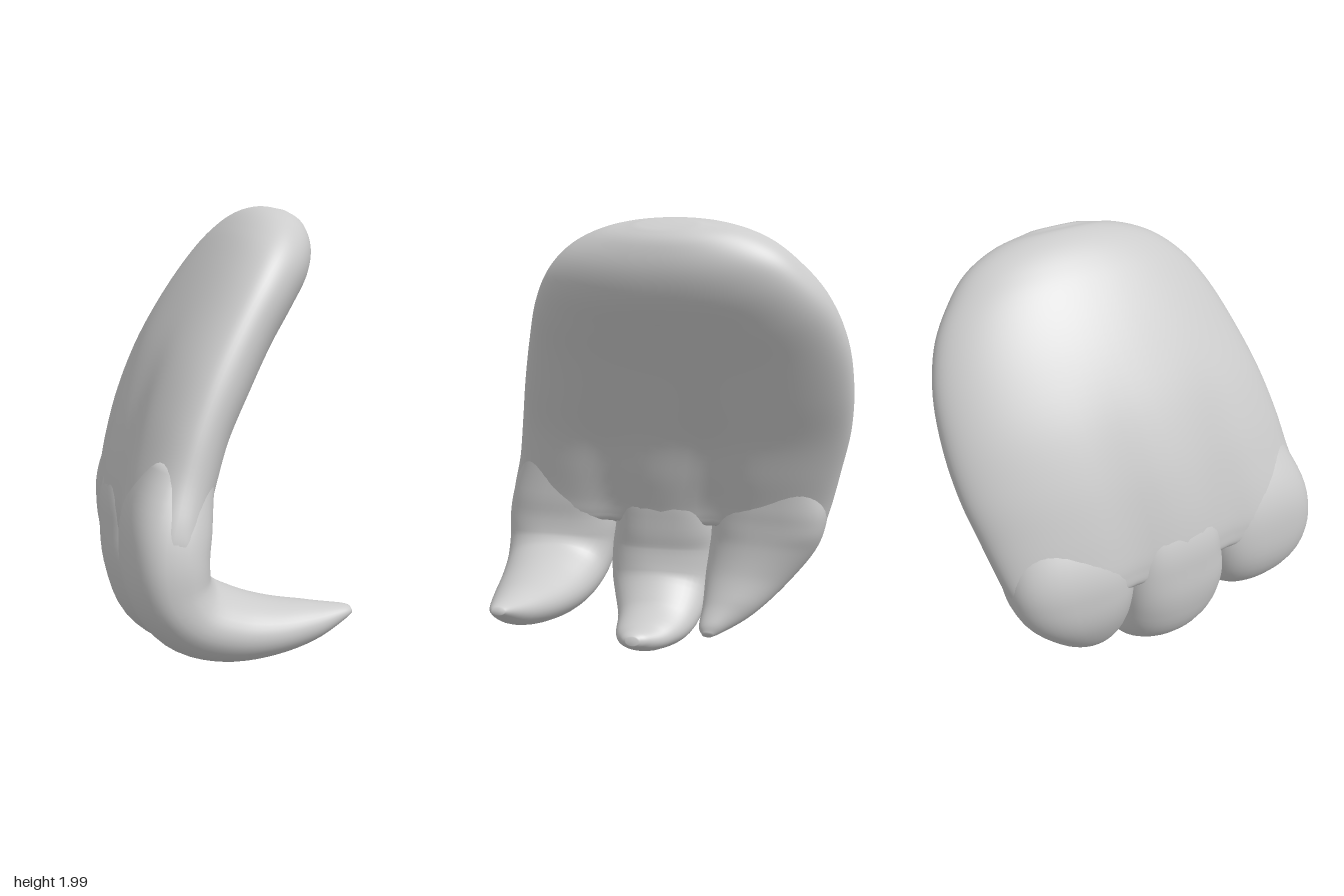
import * as THREE from 'three';

const material = new THREE.MeshStandardMaterial({ color: 0xcccccc });
const Z = new THREE.Vector3(0, 0, 1);

// Rounded power used for the squarish-oval cross-sections
const sp = (v, e) => Math.sign(v) * Math.pow(Math.abs(v), e);

// Closed smooth loft. Each section: [x, y, z, half width along z, half thickness, squareness]
// bend curls the back rim toward +x; grooves are z positions of soft furrows low down
function loft(name, sections, { steps = 40, sides = 40, bend = 0, grooves = [] } = {}) {
  const path = new THREE.CatmullRomCurve3(
    sections.map(s => new THREE.Vector3(s[0], s[1], s[2])), false, 'catmullrom', 0.5);
  const size = new THREE.CatmullRomCurve3(
    sections.map(s => new THREE.Vector3(s[3], s[4], s[5])), false, 'catmullrom', 0.5);
  const pos = [], index = [];
  const put = p => pos.push(p.x + (p.z < 0 ? bend * p.z * p.z : 0), p.y, p.z);

  for (let i = 0; i <= steps; i++) {
    const u = i / steps;
    const c = path.getPoint(u), s = size.getPoint(u);
    const t = path.getTangent(u).setZ(0).normalize();
    const n = new THREE.Vector3().crossVectors(t, Z);
    const furrow = 0.2 * (1 - THREE.MathUtils.smoothstep(c.y, 0.6, 1.5));
    for (let j = 0; j < sides; j++) {
      const a = (j / sides) * Math.PI * 2;
      const p = c.clone().addScaledVector(Z, Math.max(s.x, 0.005) * sp(Math.cos(a), 2 / s.z));
      const dip = grooves.reduce((d, g) => d + furrow * Math.exp(-(((p.z - g) / 0.12) ** 2)), 0);
      put(p.addScaledVector(n, Math.max(s.y, 0.005) * sp(Math.sin(a), 2 / s.z) * (1 - dip)));
    }
  }
  const first = pos.length / 3, last = first + 1, end = steps * sides;
  put(path.getPoint(0));
  put(path.getPoint(1));
  for (let j = 0; j < sides; j++) {
    const k = (j + 1) % sides;
    for (let i = 0; i < steps; i++) {
      const a = i * sides + j, b = i * sides + k;
      index.push(a, b, a + sides, b, b + sides, a + sides);
    }
    index.push(first, k, j, last, end + j, end + k);
  }
  const geometry = new THREE.BufferGeometry();
  geometry.setAttribute('position', new THREE.Float32BufferAttribute(pos, 3));
  geometry.setIndex(index);
  geometry.computeVertexNormals();
  const mesh = new THREE.Mesh(geometry, material);
  mesh.name = name;
  return mesh;
}

export function createModel() {
  const group = new THREE.Group();
  group.name = 'curledPaw';
  const bend = 0.15;

  // Broad leaning palm, rounded at the top, furrowed above the finger gaps
  group.add(loft('palm', [
    [0.385, 1.97, -0.10, 0.12, 0.045, 2],
    [0.365, 1.935, -0.10, 0.29, 0.12, 2],
    [0.32, 1.87, -0.10, 0.44, 0.18, 2.1],
    [0.25, 1.775, -0.10, 0.555, 0.215, 2.15],
    [0.155, 1.65, -0.11, 0.65, 0.227, 2.15],
    [0.04, 1.48, -0.11, 0.72, 0.23, 2.15],
    [-0.075, 1.28, -0.09, 0.765, 0.23, 2.2],
    [-0.17, 1.08, -0.06, 0.785, 0.22, 2.2],
    [-0.235, 0.89, -0.02, 0.785, 0.21, 2.3],
    [-0.28, 0.74, 0.02, 0.79, 0.192, 2.5],
    [-0.297, 0.65, 0.04, 0.785, 0.177, 2.8],
    [-0.302, 0.59, 0.045, 0.765, 0.155, 3],
    [-0.302, 0.56, 0.05, 0.70, 0.08, 3],
  ], { steps: 65, sides: 96, bend, grooves: [0.28, -0.2] }));

  // Front finger: the longest, hooked forward to a point
  group.add(loft('frontFinger', [
    [-0.22, 0.95, 0.52, 0.20, 0.13, 2.6],
    [-0.285, 0.74, 0.55, 0.255, 0.17, 2.7],
    [-0.305, 0.58, 0.56, 0.28, 0.17, 2.7],
    [-0.285, 0.44, 0.57, 0.272, 0.168, 2.4],
    [-0.20, 0.335, 0.58, 0.255, 0.163, 2.1],
    [-0.05, 0.278, 0.59, 0.225, 0.148, 2],
    [0.12, 0.262, 0.605, 0.18, 0.118, 2],
    [0.29, 0.275, 0.62, 0.12, 0.083, 2],
    [0.43, 0.305, 0.635, 0.055, 0.035, 2],
    [0.47, 0.312, 0.635, 0.03, 0.016, 2],
  ]));

  // Middle finger: shorter hook, reaching the lowest
  group.add(loft('middleFinger', [
    [-0.22, 0.95, 0.04, 0.18, 0.14, 2.6],
    [-0.285, 0.74, 0.04, 0.235, 0.183, 2.8],
    [-0.305, 0.58, 0.04, 0.25, 0.178, 2.8],
    [-0.31, 0.43, 0.055, 0.26, 0.162, 2.4],
    [-0.26, 0.26, 0.062, 0.245, 0.148, 2],
    [-0.11, 0.13, 0.05, 0.195, 0.12, 2],
    [0.05, 0.095, 0.075, 0.14, 0.075, 2],
    [0.15, 0.105, 0.10, 0.07, 0.04, 2],
    [0.18, 0.108, 0.105, 0.03, 0.02, 2],
  ]));

  // Back finger: slants inward to a short tip
  group.add(loft('backFinger', [
    [-0.22, 0.95, -0.46, 0.22, 0.13, 2.6],
    [-0.282, 0.74, -0.47, 0.27, 0.173, 2.7],
    [-0.296, 0.60, -0.46, 0.275, 0.173, 2.7],
    [-0.285, 0.47, -0.43, 0.255, 0.16, 2.3],
    [-0.235, 0.32, -0.365, 0.20, 0.128, 2],
    [-0.155, 0.19, -0.295, 0.13, 0.09, 2],
    [-0.08, 0.11, -0.225, 0.065, 0.05, 2],
    [-0.05, 0.08, -0.205, 0.025, 0.02, 2],
  ], { bend }));

  return group;
}
